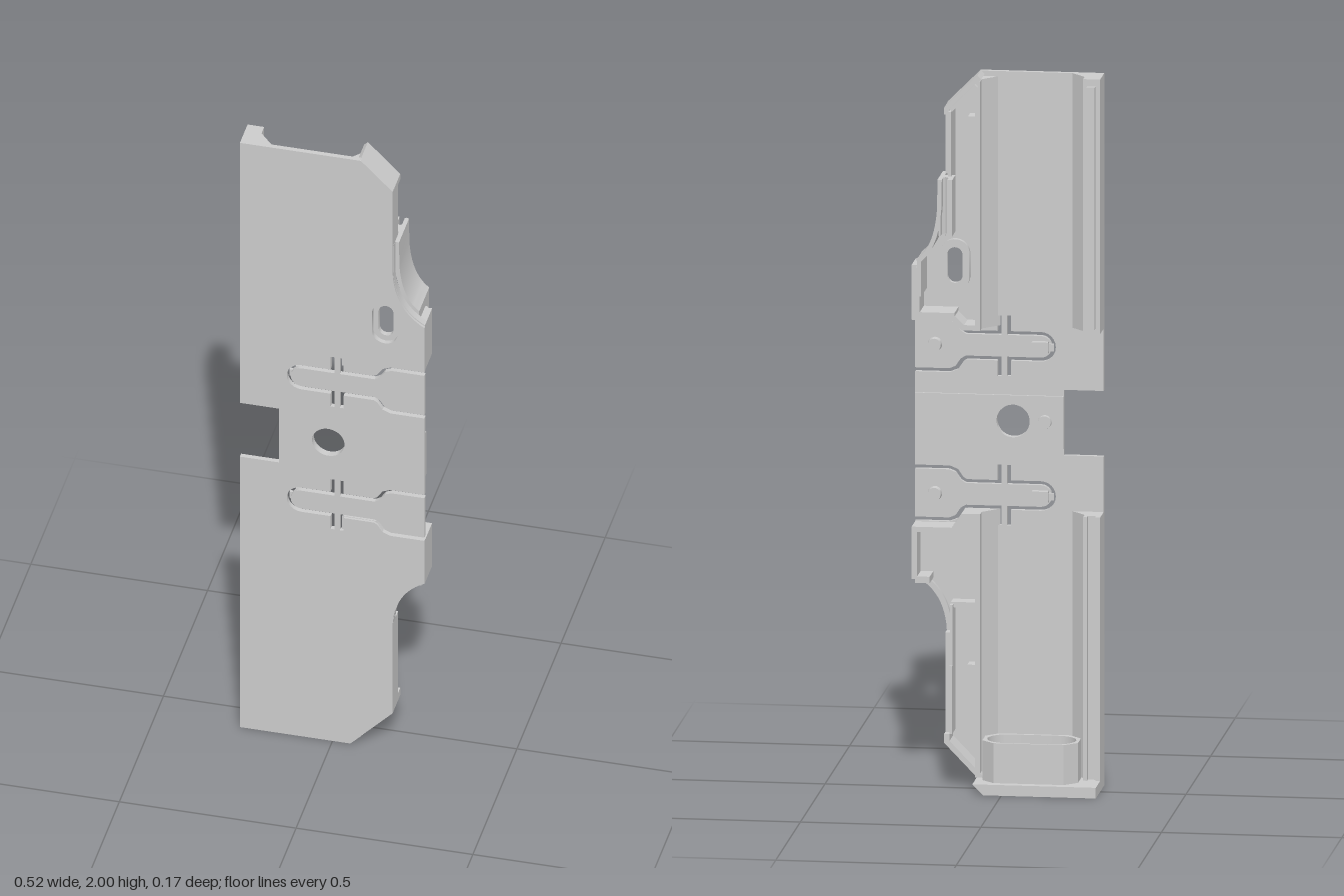
import * as THREE from 'three';
import { toCreasedNormals } from 'three/addons/utils/BufferGeometryUtils.js';

const FRONT = 0.087, FLOOR = 0.073; // front face and inner face of the panel
const V = (x, y) => new THREE.Vector2(x, y);
const toShape = (pts) => new THREE.Shape(pts.map(([x, y]) => V(x, y)));

// Closed ribbon of width w along an open path, with mitred corners
function strip(path, w) {
  const a = [], b = [];
  path.forEach(([x, y], i) => {
    const p = path[Math.max(i - 1, 0)], n = path[Math.min(i + 1, path.length - 1)];
    const d1 = V(x - p[0], y - p[1]).normalize(), d2 = V(n[0] - x, n[1] - y).normalize();
    const t = d1.clone().add(d2).normalize();
    const ref = i ? d1 : d2;
    const k = (w / 2) / Math.max(0.4, t.dot(ref));
    a.push([x - t.y * k, y + t.x * k]);
    b.push([x + t.y * k, y - t.x * k]);
  });
  return [...a, ...b.reverse()];
}

function bend(p0, p1, p2, n = 12) {
  return new THREE.QuadraticBezierCurve(V(...p0), V(...p1), V(...p2)).getPoints(n).map((p) => [p.x, p.y]);
}

// Upright or lying stadium outline
function stadium(cx, cy, w, h) {
  const r = Math.min(w, h) / 2, pts = [];
  for (let i = 0; i < 32; i++) {
    const t = ((i + 0.5) / 32) * Math.PI * 2, c = Math.cos(t), s = Math.sin(t);
    pts.push([cx + c * r + Math.sign(c) * (w / 2 - r), cy + s * r + Math.sign(s) * (h / 2 - r)]);
  }
  return pts;
}

export function createModel() {
  const root = new THREE.Group();
  const mat = new THREE.MeshStandardMaterial({ color: 0xcccccc, side: THREE.DoubleSide });

  function add(name, geo) {
    const m = new THREE.Mesh(toCreasedNormals(geo, 0.5), mat);
    m.name = name;
    root.add(m);
    return m;
  }
  // Outline in x,y pushed from z0 to z1
  function slab(name, pts, z0, z1, holes = []) {
    const s = toShape(pts);
    holes.forEach((h) => s.holes.push(toShape(h)));
    return add(name, new THREE.ExtrudeGeometry(s, { depth: z1 - z0, bevelEnabled: false }).translate(0, 0, z0));
  }
  // Cross-section in x,z pushed from y0 to y1
  function rail(name, pts, y0, y1, holes = []) {
    const flip = (l) => l.map(([x, z]) => [x, -z]);
    const s = toShape(flip(pts));
    holes.forEach((h) => s.holes.push(toShape(flip(h))));
    const g = new THREE.ExtrudeGeometry(s, { depth: y1 - y0, bevelEnabled: false });
    return add(name, g.rotateX(-Math.PI / 2).translate(0, y0, 0));
  }
  function box(name, x0, x1, y0, y1, z0, z1) {
    return add(name, new THREE.BoxGeometry(x1 - x0, y1 - y0, z1 - z0)
      .translate((x0 + x1) / 2, (y0 + y1) / 2, (z0 + z1) / 2));
  }
  const wall = (name, path, z0, z1 = 0.08, w = 0.015) => slab(name, strip(path, w), z0, z1);

  // Spring-tongue cuts: two open cuts from the edge, one closed U cut each
  const tongues = [0.81, 1.229];
  const openCut = (c, s) => strip([[0.26, c + s * 0.073], [0.165, c + s * 0.073], [0.145, c + s * 0.065],
    [0.13, c + s * 0.043], [0.118, c + s * 0.036], [0.026, c + s * 0.036], [0.026, c + s * 0.085]], 0.011);
  const closedCut = (c) => {
    const arc = [];
    for (let i = 0; i <= 12; i++) {
      const t = Math.PI / 2 + (i / 12) * Math.PI;
      arc.push([-0.088 + 0.036 * Math.cos(t), c + 0.036 * Math.sin(t)]);
    }
    return strip([[0, c + 0.085], [0, c + 0.036], ...arc, [0, c - 0.036], [0, c - 0.085]], 0.011);
  };

  // Front panel
  const lowCurve = bend([0.17, 0.43], [0.175, 0.54], [0.26, 0.585]);
  const highCurve = bend([0.26, 1.46], [0.175, 1.51], [0.17, 1.63]);
  const outline = [[-0.262, 0], [0.05, 0], [0.17, 0.125], ...lowCurve,
    ...tongues.flatMap((c) => [...openCut(c, -1), ...openCut(c, 1)]),
    ...highCurve, [0.17, 1.91], [0.08, 2], [-0.262, 2],
    [-0.262, 1.11], [-0.152, 1.11], [-0.152, 0.926], [-0.262, 0.926]];
  const eyelet = stadium(-0.012, 1.02, 0.092, 0.092);
  slab('frontPanel', outline, FLOOR, FRONT,
    [...tongues.map(closedCut), eyelet, stadium(0.148, 1.455, 0.072, 0.135)]);

  // Hinge bridge pad, with pegs on it and on the tongues
  slab('hingePad', [[-0.152, 0.945], [0.26, 0.945], [0.26, 1.092], [-0.152, 1.092]], 0.066, FLOOR, [eyelet]);
  const peg = (name, x, y) => add(name, new THREE.CylinderGeometry(0.018, 0.02, 0.02, 24)
    .rotateX(-Math.PI / 2).translate(x, y, 0.065));
  peg('bridgePeg', -0.1, 1.02);
  for (const c of tongues) {
    peg('tonguePeg', 0.205, c);
    box('tongueCatch', -0.11, -0.065, c - 0.016, c + 0.016, 0.054, FLOOR);
    box('tongueCatchStep', -0.125, -0.065, c - 0.01, c + 0.01, 0.064, FLOOR);
  }

  // Recessed rim of the oblong window
  slab('windowRim', stadium(0.148, 1.455, 0.082, 0.145), 0.058, FLOOR, [stadium(0.148, 1.455, 0.042, 0.1)]);

  // Side rails: tongue on the upper half, matching groove on the lower half
  const sideRail = (e) => [[-0.262, 0.08], [-0.262, 0], [-0.249, 0], [-0.249, e], [-0.226, e], [-0.226, 0],
    [-0.215, 0], [-0.215, 0.03], [-0.17, 0.08]];
  rail('upperSideRail', sideRail(0), 1.285, 2);
  rail('upperSideTongue', [[-0.249, 0.01], [-0.249, -0.015], [-0.226, -0.015], [-0.226, 0.01]], 1.3, 1.98);
  rail('lowerSideRail', sideRail(0.016), 0.03, 0.77);

  // Inner rails between the long channel and the side compartments
  const innerRail = [[0.025, 0.08], [0.07, 0.03], [0.07, 0], [0.084, 0], [0.084, 0.08]];
  rail('upperInnerRail', innerRail, 1.285, 1.985);
  rail('lowerInnerRail', innerRail, 0.03, 0.77);

  // Upper compartment walls
  wall('upperChamferWall', [[0.073, 1.996], [0.1625, 1.906], [0.1625, 1.89]], 0);
  wall('upperLowWall', [[0.1625, 1.89], [0.1625, 1.72]], 0.025);
  wall('upperInsetLip', [[0.153, 1.9], [0.153, 1.7]], -0.012, 0.08, 0.008);
  const inset = (pts) => pts.map(([x, y]) => [x - 0.007, y]);
  wall('upperCurvedWall', [[0.163, 1.72], ...inset(highCurve).reverse()], 0.058);
  const upperBlock = [[0.2525, 1.465], [0.2525, 1.318], [0.145, 1.318], [0.118, 1.292], [0.075, 1.292]];
  wall('upperEndWall', upperBlock, 0);
  wall('upperChamferTongue', [[0.08, 1.975], [0.15, 1.905]], -0.015, 0.02, 0.01);
  wall('upperEndTongue', [[0.241, 1.46], [0.241, 1.33], [0.14, 1.33]], -0.012, 0.08, 0.01);

  // Lower compartment walls
  wall('lowerChamferWall', [[0.045, 0.006], [0.1625, 0.128], [0.1625, 0.15]], 0);
  wall('lowerLowWall', [[0.1625, 0.15], [0.1625, 0.43]], 0.025);
  wall('lowerInsetLip', [[0.152, 0.15], [0.152, 0.34]], 0.003, 0.08, 0.008);
  wall('lowerInsetRib', [[0.152, 0.34], [0.152, 0.51]], 0.012, 0.08, 0.008);
  wall('lowerCurvedWall', inset(lowCurve), 0.058);
  wall('lowerEndWall', [[0.2525, 0.583], [0.2525, 0.722], [0.145, 0.722], [0.118, 0.762], [0.075, 0.762]], 0);
  box('lowerShoulder', 0.21, 0.25, 0.572, 0.59, 0, 0.08);

  // Ledges inside the compartments
  box('lowerLedge', 0.084, 0.11, 0.2, 0.34, 0.03, FLOOR);
  box('lowerStop', 0.084, 0.155, 0.5, 0.515, 0.03, FLOOR);
  box('upperLedge', 0.084, 0.108, 1.74, 1.88, 0.03, FLOOR);

  // Curved push lever with its forked stem
  const leverCurve = bend([0.176, 1.64], [0.182, 1.53], [0.232, 1.49]);
  wall('lever', [[0.175, 1.718], ...leverCurve, [0.232, 1.388]], -0.055, 0.058, 0.012);
  rail('leverFork', [[0.14, 0.01], [0.14, -0.057], [0.154, -0.057], [0.154, -0.028], [0.163, -0.02],
    [0.172, -0.028], [0.172, -0.057], [0.178, -0.057], [0.178, 0.01]], 1.56, 1.718);

  // Foot flange with drilled socket
  const drill = stadium(-0.073, -0.002, 0.04, 0.04);
  rail('footFlange', [[-0.262, -0.088], [0.05, -0.088], [0.05, FRONT], [-0.262, FRONT]], 0, 0.03, [drill]);
  slab('footFlangeEnd', [[0.05, 0], [0.08, 0.03], [0.05, 0.03]], -0.088, FRONT);
  const socket = [[-0.205, -0.03], [-0.17, -0.064], [0.025, -0.064], [0.06, -0.03], [0.06, 0.03],
    [0.025, 0.066], [-0.17, 0.066], [-0.205, 0.03]];
  rail('socketBase', socket, 0.03, 0.06, [drill]);
  rail('socketRim', socket, 0.06, 0.142, [stadium(-0.073, -0.001, 0.246, 0.114)]);

  return root;
}
